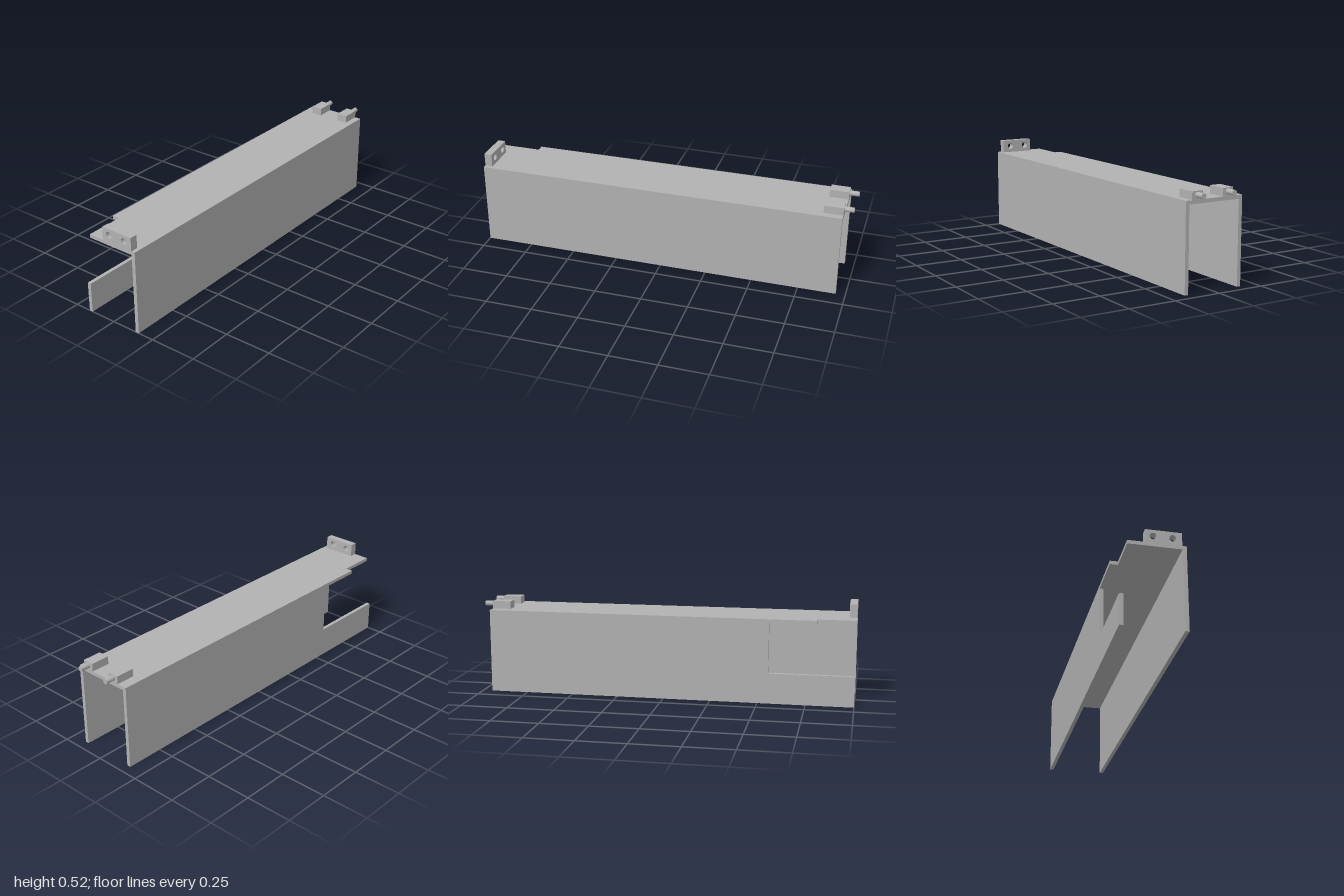
import * as THREE from 'three';

const HALF_W = 0.163, WALL = 0.02;   // channel half width and wall thickness
const TOP = 0.446, UNDER = 0.427;    // top plate faces
const FRONT = 1, BACK = -0.95;       // channel ends

export function createModel() {
  const group = new THREE.Group();
  group.name = 'channelCover';
  const grey = new THREE.MeshStandardMaterial({ color: 0xb2b2b2 });
  grey.name = 'plainGrey';

  const add = (name, geometry) => {
    const mesh = new THREE.Mesh(geometry, grey);
    mesh.name = name;
    group.add(mesh);
    return mesh;
  };
  // Box given by its extents
  const box = (name, x0, x1, y0, y1, z0, z1) =>
    add(name, new THREE.BoxGeometry(x1 - x0, y1 - y0, z1 - z0))
      .position.set((x0 + x1) / 2, (y0 + y1) / 2, (z0 + z1) / 2);
  const polygon = (points) => new THREE.Shape(points.map(([a, b]) => new THREE.Vector2(a, b)));
  const extrude = (shape, depth) =>
    new THREE.ExtrudeGeometry(shape, { depth, bevelEnabled: false, curveSegments: 16 });

  // Top plate, outlined in x and z, with a notch at its front corner
  const plate = polygon([
    [-HALF_W, BACK], [HALF_W, BACK], [HALF_W, FRONT],
    [-0.123, FRONT], [-0.123, 0.8], [-HALF_W, 0.8],
  ]);
  add('topPlate', extrude(plate, TOP - UNDER).rotateX(Math.PI / 2).translate(0, TOP, 0));

  // Left wall is plain; right wall, outlined in z and y, is cut away at the front
  box('leftWall', HALF_W - WALL, HALF_W, 0, UNDER, BACK, FRONT);
  const wall = polygon([
    [BACK, 0], [FRONT, 0], [FRONT, 0.161], [0.556, 0.161], [0.556, UNDER], [BACK, UNDER],
  ]);
  add('rightWall', extrude(wall, WALL).rotateY(-Math.PI / 2).translate(WALL - HALF_W, 0, 0));

  // Upright front lug with two through holes
  const lug = polygon([[-0.037, TOP], [0.142, TOP], [0.142, 0.516], [-0.037, 0.516]]);
  for (const x of [0.002, 0.097]) {
    lug.holes.push(new THREE.Path().absarc(x, 0.482, 0.0175, 0, Math.PI * 2, true));
  }
  add('frontLug', extrude(lug, 0.04).translate(0, 0, 0.96));

  // Rear blocks, each with a round pin pointing backwards
  for (const x of [-0.078, 0.098]) {
    box('rearBlock', x - 0.03, x + 0.03, TOP, 0.487, BACK, -0.85);
    add('rearPin', new THREE.CylinderGeometry(0.0135, 0.0135, 0.05, 32).rotateX(Math.PI / 2))
      .position.set(x, 0.469, -0.975);
  }
  return group;
}
